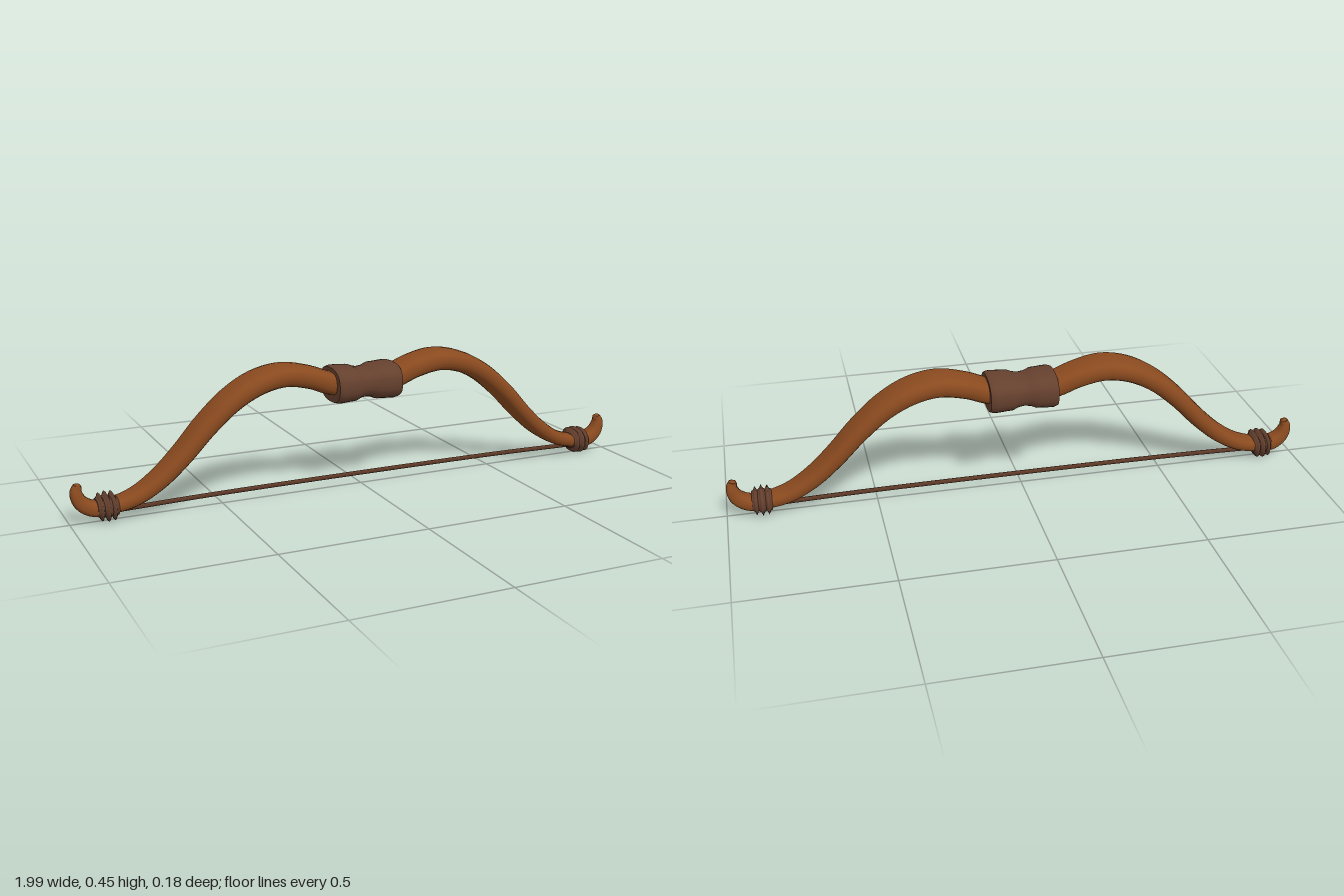
import * as THREE from 'three';

const wood = new THREE.MeshStandardMaterial({ color: 0x8a4a1f });
wood.name = 'wood';
const leather = new THREE.MeshStandardMaterial({ color: 0x65402e });
leather.name = 'leather';
const cord = new THREE.MeshStandardMaterial({ color: 0x5c3826 });
cord.name = 'cord';

// Sweep a rounded-box section along stations [x, y, halfThickness, halfWidth]
function loft(stations, steps, sides, power) {
  const path = new THREE.CatmullRomCurve3(stations.map(s => new THREE.Vector3(s[0], s[1], 0)));
  const size = new THREE.CatmullRomCurve3(stations.map(s => new THREE.Vector3(s[2], s[3], 0)));
  const round = v => Math.sign(v) * Math.pow(Math.abs(v), 2 / power);
  const pos = [], index = [];
  for (let i = 0; i <= steps; i++) {
    const t = i / steps, p = path.getPoint(t), d = path.getTangent(t), s = size.getPoint(t);
    for (let j = 0; j < sides; j++) {
      const a = (j / sides) * Math.PI * 2;
      const u = round(Math.cos(a)) * s.x, w = round(Math.sin(a)) * s.y;
      pos.push(p.x - d.y * u, p.y + d.x * u, w);
      if (i < steps) {
        const k = (j + 1) % sides, A = i * sides + j, B = i * sides + k;
        index.push(A, A + sides, B, B, A + sides, B + sides);
      }
    }
  }
  // End caps with their own vertices keep the rims sharp
  for (const end of [0, steps]) {
    const base = pos.length / 3;
    for (let j = 0; j < sides; j++) pos.push(...pos.slice((end * sides + j) * 3, (end * sides + j) * 3 + 3));
    for (let j = 1; j < sides - 1; j++) {
      if (end) index.push(base, base + j + 1, base + j);
      else index.push(base, base + j, base + j + 1);
    }
  }
  // Outward winding: the section turns from +normal towards +z
  for (let i = 0; i < index.length; i += 3) {
    const a = index[i + 1];
    index[i + 1] = index[i + 2];
    index[i + 2] = a;
  }
  const g = new THREE.BufferGeometry();
  g.setAttribute('position', new THREE.Float32BufferAttribute(pos, 3));
  g.setIndex(index);
  g.computeVertexNormals();
  return g;
}

function add(parent, name, geometry, material) {
  const mesh = new THREE.Mesh(geometry, material);
  mesh.name = name;
  parent.add(mesh);
  return mesh;
}

export function createModel() {
  const bow = new THREE.Group();
  bow.name = 'bow';

  // Recurved stave, half listed from the grip outwards and mirrored
  const half = [
    [0.10, 0.357, 0.038, 0.058], [0.19, 0.388, 0.037, 0.064], [0.28, 0.405, 0.037, 0.069],
    [0.37, 0.389, 0.036, 0.071], [0.46, 0.342, 0.034, 0.069], [0.55, 0.265, 0.032, 0.065],
    [0.63, 0.180, 0.030, 0.060], [0.71, 0.108, 0.028, 0.054], [0.79, 0.060, 0.025, 0.048],
    [0.87, 0.040, 0.023, 0.040], [0.925, 0.040, 0.025, 0.034], [0.962, 0.064, 0.024, 0.027],
    [0.975, 0.098, 0.019, 0.021], [0.970, 0.122, 0.012, 0.014],
  ];
  const mirrored = half.map(([x, ...rest]) => [-x, ...rest]).reverse();
  add(bow, 'stave', loft([...mirrored, ...half], 130, 20, 2.6), wood);

  // Leather grip with slightly swollen rims
  add(bow, 'grip', loft([
    [-0.112, 0.354, 0.058, 0.083], [-0.095, 0.354, 0.062, 0.088], [-0.04, 0.354, 0.059, 0.085],
    [0.04, 0.354, 0.059, 0.085], [0.10, 0.354, 0.062, 0.088], [0.118, 0.354, 0.058, 0.083],
  ], 20, 28, 2.5), leather);

  for (const side of [-1, 1]) {
    const tip = new THREE.Group();
    tip.name = side > 0 ? 'leftBinding' : 'rightBinding';
    // Overlapping leather turns that hold the string
    [[0.862, 0.032, 0.047], [0.882, 0.034, 0.049], [0.902, 0.031, 0.044]].forEach(([x, t, w], i) => {
      const c = side * x;
      add(tip, 'bindingTurn' + (i + 1), loft([
        [c - 0.013, 0.041, t - 0.004, w - 0.004], [c - 0.006, 0.041, t, w],
        [c + 0.006, 0.041, t, w], [c + 0.013, 0.041, t - 0.004, w - 0.004],
      ], 6, 18, 2.3), leather);
    });
    // Small horn knob at the end of the nock
    const knob = add(tip, 'nockKnob', new THREE.SphereGeometry(0.016, 12, 8), wood);
    knob.position.set(side * 0.972, 0.112, 0);
    bow.add(tip);
  }

  // Bowstring between the bindings
  const string = new THREE.CatmullRomCurve3([
    new THREE.Vector3(-0.88, 0.022, 0), new THREE.Vector3(-0.5, 0.029, 0),
    new THREE.Vector3(0.5, 0.029, 0), new THREE.Vector3(0.88, 0.022, 0),
  ]);
  add(bow, 'string', new THREE.TubeGeometry(string, 24, 0.008, 8), cord);

  return bow;
}
